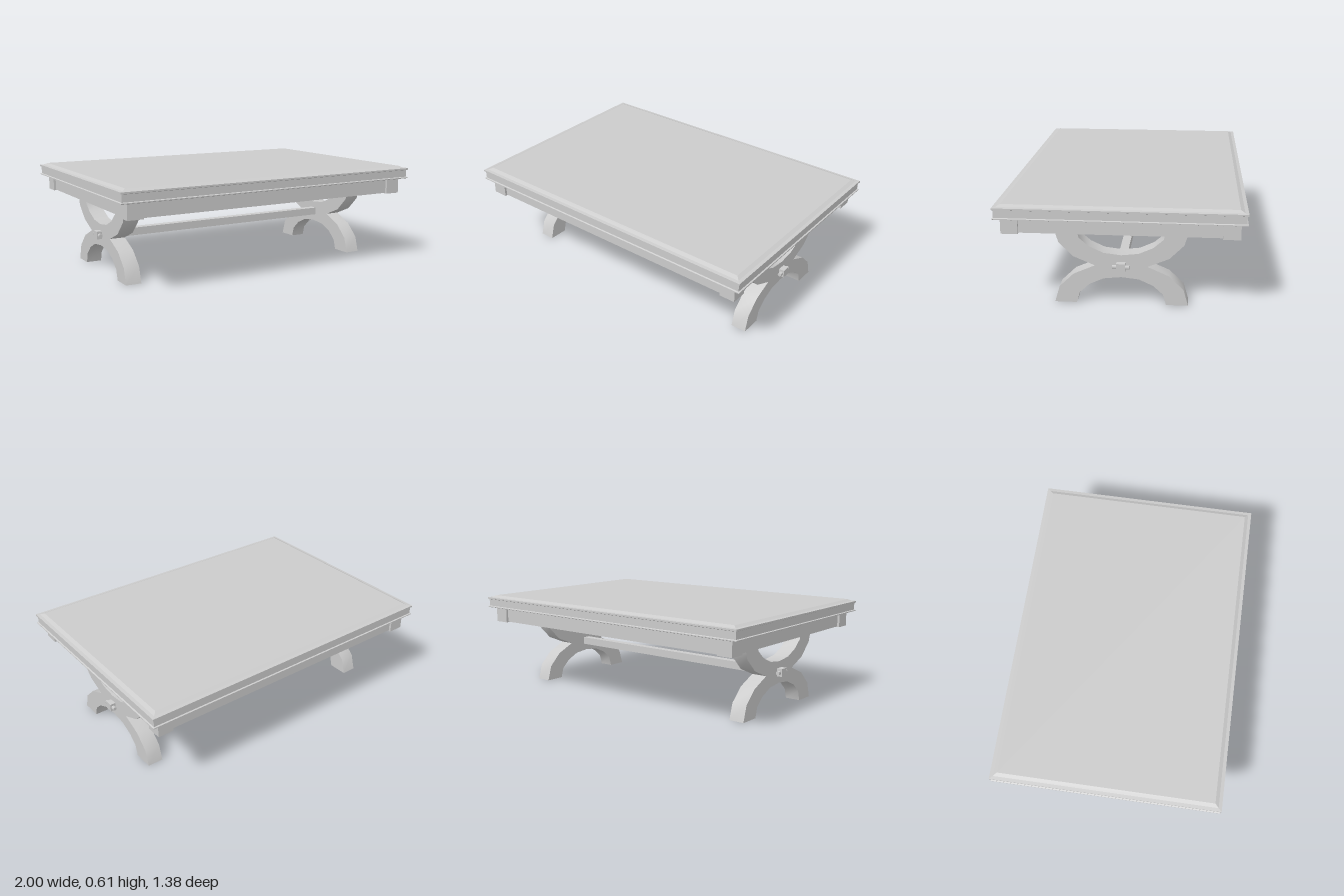
import * as THREE from 'three';
import { toCreasedNormals } from 'three/addons/utils/BufferGeometryUtils.js';

const material = new THREE.MeshStandardMaterial({ color: 0xcccccc });

function add(parent, name, geometry, x = 0, y = 0, z = 0) {
  const mesh = new THREE.Mesh(geometry, material);
  mesh.name = name;
  mesh.position.set(x, y, z);
  parent.add(mesh);
  return mesh;
}

// Rectangular moulding: each profile entry is [inset, height], bottom to top
function mouldedSlab(halfX, halfZ, profile) {
  const positions = [];
  const index = [];
  for (const [inset, y] of profile) {
    const x = halfX - inset, z = halfZ - inset;
    positions.push(x, y, z, x, y, -z, -x, y, -z, -x, y, z);
  }
  for (let r = 0; r < profile.length - 1; r++) {
    for (let i = 0; i < 4; i++) {
      const a = r * 4 + i, b = r * 4 + (i + 1) % 4;
      index.push(a, b, b + 4, a, b + 4, a + 4);
    }
  }
  const t = (profile.length - 1) * 4;
  index.push(0, 2, 1, 0, 3, 2, t, t + 1, t + 2, t, t + 2, t + 3);
  const geometry = new THREE.BufferGeometry();
  geometry.setAttribute('position', new THREE.Float32BufferAttribute(positions, 3));
  geometry.setIndex(index);
  const flat = geometry.toNonIndexed();
  flat.computeVertexNormals();
  return flat;
}

// X-shaped trestle made of two opposed arcs, extruded along x
function trestleGeometry(thickness) {
  // one half of the outline, from top centre round to bottom centre
  const half = [
    [0, 0.295], [0.1, 0.307], [0.181, 0.344], [0.237, 0.393], [0.252, 0.445],
    [0.378, 0.445], [0.352, 0.363], [0.27, 0.281], [0.148, 0.23],
    [0.27, 0.176], [0.352, 0.096], [0.38, 0], [0.255, 0],
    [0.237, 0.063], [0.181, 0.115], [0.1, 0.152], [0, 0.163],
  ];
  const mirrored = half.slice(1, -1).reverse().map(([z, y]) => [-z, y]);
  const shape = new THREE.Shape([...half, ...mirrored].map(([z, y]) => new THREE.Vector2(z, y)));
  const geometry = new THREE.ExtrudeGeometry(shape, { depth: thickness, bevelEnabled: false });
  geometry.translate(0, 0, -thickness / 2);
  geometry.rotateY(Math.PI / 2);
  return toCreasedNormals(geometry, 0.6);
}

export function createModel() {
  const table = new THREE.Group();
  table.name = 'trestleTable';

  // Table top with a lip above and below a recessed edge, and a bevelled surface
  add(table, 'tableTop', mouldedSlab(1, 0.69, [
    [0.008, 0.53], [0, 0.533], [0, 0.538], [0.008, 0.541], [0.008, 0.584],
    [0, 0.587], [0, 0.597], [0.02, 0.599], [0.042, 0.61],
  ]));

  // Apron and corner blocks
  add(table, 'apron', new THREE.BoxGeometry(1.876, 0.092, 1.284), 0, 0.486, 0);
  const block = new THREE.BoxGeometry(0.096, 0.096, 0.096);
  for (const sx of [-1, 1]) {
    for (const sz of [-1, 1]) add(table, 'cornerBlock', block, sx * 0.904, 0.484, sz * 0.608);
  }

  // Trestles, with a through tenon and locking peg on each outer face
  const legs = trestleGeometry(0.096);
  const tenon = new THREE.BoxGeometry(0.05, 0.048, 0.05);
  const peg = new THREE.CylinderGeometry(0.012, 0.012, 0.096, 8).rotateX(Math.PI / 2);
  for (const side of [-1, 1]) {
    const trestle = new THREE.Group();
    trestle.name = side > 0 ? 'leftTrestle' : 'rightTrestle';
    trestle.position.x = side * 0.81 + 0.008;
    add(trestle, 'legs', legs);
    add(trestle, 'tenon', tenon, side * 0.057, 0.231, 0);
    add(trestle, 'peg', toCreasedNormals(peg, 0.9), side * 0.065, 0.231, 0);
    table.add(trestle);
  }

  // Long stretcher between the trestles
  add(table, 'stretcher', new THREE.BoxGeometry(1.58, 0.048, 0.05), 0.008, 0.231, 0);

  return table;
}
